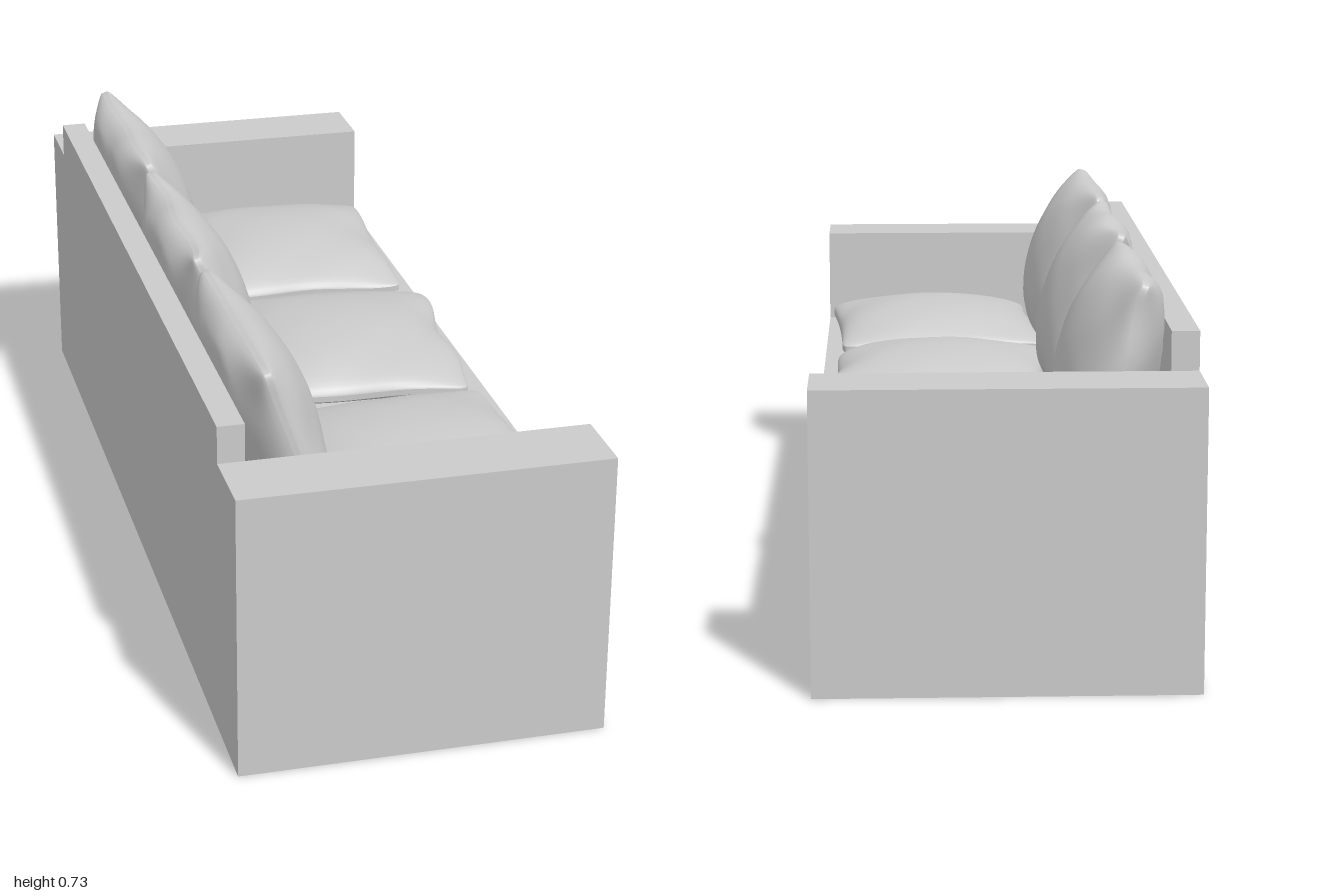
import * as THREE from 'three';

const grey = new THREE.MeshStandardMaterial({ color: 0xcccccc });
const shell = new THREE.MeshStandardMaterial({ color: 0xcccccc, side: THREE.DoubleSide });

const X = 0.355, BACK = -0.303, Z = 1, ARM = 0.85; // plan dimensions
const SEAT = 0.36, ARM_TOP = 0.568, BACK_TOP = 0.642; // heights

function add(group, name, geometry, material) {
  const mesh = new THREE.Mesh(geometry, material);
  mesh.name = name;
  group.add(mesh);
}

// Level panel between two x and two z values
function level(y, x0, x1, z0, z1) {
  return new THREE.PlaneGeometry(x1 - x0, z1 - z0).rotateX(-Math.PI / 2)
    .translate((x0 + x1) / 2, y, (z0 + z1) / 2);
}

// Upright panel across the sofa at a given z
function upright(z, x0, x1, y0, y1, facing) {
  return new THREE.PlaneGeometry(x1 - x0, y1 - y0).rotateY(facing > 0 ? 0 : Math.PI)
    .translate((x0 + x1) / 2, (y0 + y1) / 2, z);
}

// Full-length panel whose middle section ends at its own height
function lengthwise(x, middle, facing) {
  const s = new THREE.Shape([
    [-Z, 0], [Z, 0], [Z, ARM_TOP], [ARM, ARM_TOP], [ARM, middle],
    [-ARM, middle], [-ARM, ARM_TOP], [-Z, ARM_TOP],
  ].map(([a, b]) => new THREE.Vector2(a, b)));
  return new THREE.ShapeGeometry(s).rotateY(facing * Math.PI / 2).translate(x, 0, 0);
}

// Puffed pillow with drawn-out corners and a narrow edge band
function cushion({ halfX, halfZ, top, bottom, tilt, turn, at, seed }) {
  const geo = new THREE.BoxGeometry(2, 2, 2, 28, 1, 28);
  const p = geo.attributes.position;
  const band = 0.006;
  for (let i = 0; i < p.count; i++) {
    const u = Math.sin(p.getX(i) * Math.PI / 2);
    const v = Math.sin(p.getZ(i) * Math.PI / 2);
    const side = Math.sign(p.getY(i));
    const puff = Math.pow(Math.max(0, (1 - u * u) * (1 - v * v)), 0.55);
    const corner = 1 - 0.035 * Math.pow(Math.abs(u * v), 14);
    const wave = 0.005 * Math.sin(5 * u + seed) * Math.sin(6 * v + 2 * seed);
    const crease = 1 + 0.04 * Math.sin(9 * u + seed) * Math.sin(8 * v - seed) * (1 - puff);
    p.setXYZ(i,
      u * halfX * (1 - 0.035 * (1 - v * v)) * corner + wave * u * u,
      side * (band + (side > 0 ? top : bottom) * puff * crease) + wave * (1 - puff),
      v * halfZ * (1 - 0.03 * (1 - u * u)) * corner + wave * v * v);
  }
  geo.rotateZ(tilt).rotateY(turn).translate(...at);
  // Flatten where it rests on the seat or against the back
  for (let i = 0; i < p.count; i++) {
    p.setX(i, Math.max(p.getX(i), BACK + 0.002));
    p.setY(i, Math.max(p.getY(i), SEAT + 0.004));
  }
  geo.computeVertexNormals();
  return geo;
}

export function createModel() {
  const sofa = new THREE.Group();
  sofa.name = 'sofa';

  // Hollow body, open underneath
  const body = new THREE.Group();
  body.name = 'body';
  sofa.add(body);
  add(body, 'frontPanel', lengthwise(X, SEAT, 1), shell);
  add(body, 'rearPanel', lengthwise(-X, BACK_TOP, -1), shell);
  add(body, 'seatBase', level(SEAT, BACK, X, -ARM, ARM), shell);
  add(body, 'backrestTop', level(BACK_TOP, -X, BACK, -ARM, ARM), shell);
  add(body, 'backrestFront', new THREE.PlaneGeometry(2 * ARM, BACK_TOP - SEAT)
    .rotateY(Math.PI / 2).translate(BACK, (BACK_TOP + SEAT) / 2, 0), shell);

  // Arms and backrest ends, mirrored
  for (const s of [1, -1]) {
    const n = s > 0 ? 'left' : 'right';
    const mid = s * (ARM + Z) / 2, half = (Z - ARM) / 2;
    add(body, n + 'ArmOutside', upright(s * Z, -X, X, 0, ARM_TOP, s), shell);
    add(body, n + 'ArmInside', upright(s * ARM, BACK, X, SEAT, ARM_TOP, -s), shell);
    add(body, n + 'ArmTop', level(ARM_TOP, -X, X, mid - half, mid + half), shell);
    add(body, n + 'BackrestEnd', upright(s * ARM, -X, BACK, ARM_TOP, BACK_TOP, s), shell);
  }

  // Loose cushions: [seat centre z, seat turn, back centre z, back turn]
  [[-0.56, -0.05, -0.577, 0.01], [0, -0.08, 0.003, -0.01], [0.567, 0.06, 0.567, 0.01]]
    .forEach(([seatZ, seatTurn, backZ, backTurn], i) => {
      add(sofa, 'seatCushion' + (i + 1), cushion({
        halfX: 0.23, halfZ: 0.262, top: 0.063, bottom: 0.03,
        tilt: 0, turn: seatTurn, at: [0.103, 0.388, seatZ], seed: 1 + i * 1.7,
      }), grey);
      add(sofa, 'backCushion' + (i + 1), cushion({
        halfX: 0.188, halfZ: 0.265, top: 0.08, bottom: 0.1,
        tilt: -1.26, turn: backTurn, at: [-0.202, 0.55, backZ], seed: 2.4 + i * 1.3,
      }), grey);
    });

  return sofa;
}
